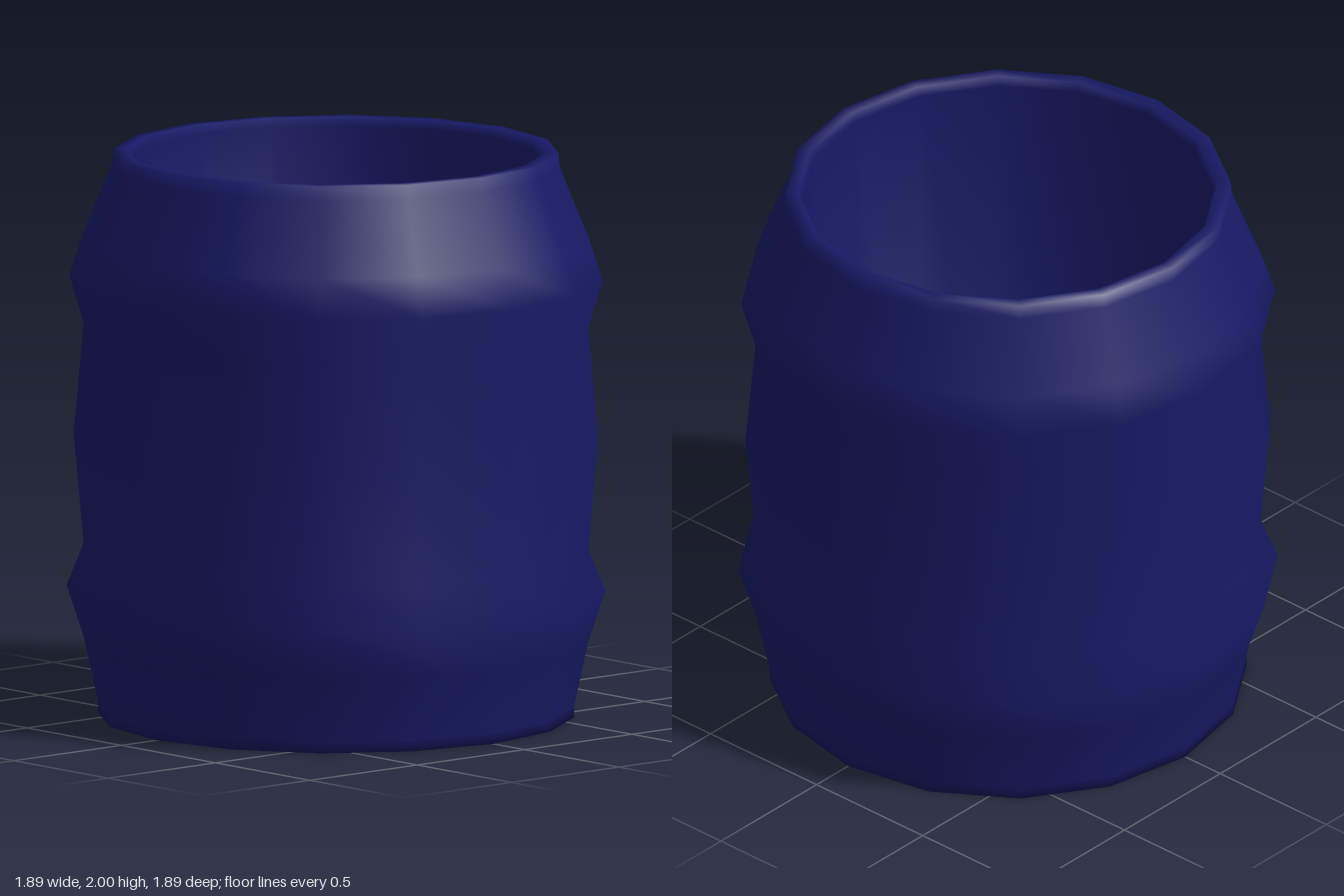
import * as THREE from 'three';

export function createModel() {
  const group = new THREE.Group();
  const material = new THREE.MeshStandardMaterial({ color: 0x171a66 });

  // Closed half-section: base, ribbed outer wall, rim, straight inner wall, floor
  const section = [
    [0, 0], [0.835, 0], [0.835, 0.04], [0.885, 0.27], [0.945, 0.45],
    [0.885, 0.6], [0.92, 0.99], [0.885, 1.38], [0.935, 1.55], [0.89, 1.69],
    [0.785, 1.95], [0.78, 2], [0.735, 2], [0.72, 1.97], [0.715, 0.08], [0, 0.08],
  ].map(([r, y]) => new THREE.Vector2(r, y));

  // Sixteen-sided barrel vessel with soft shading
  const barrel = new THREE.Mesh(new THREE.LatheGeometry(section, 16), material);
  barrel.name = 'barrel';
  group.add(barrel);
  return group;
}
